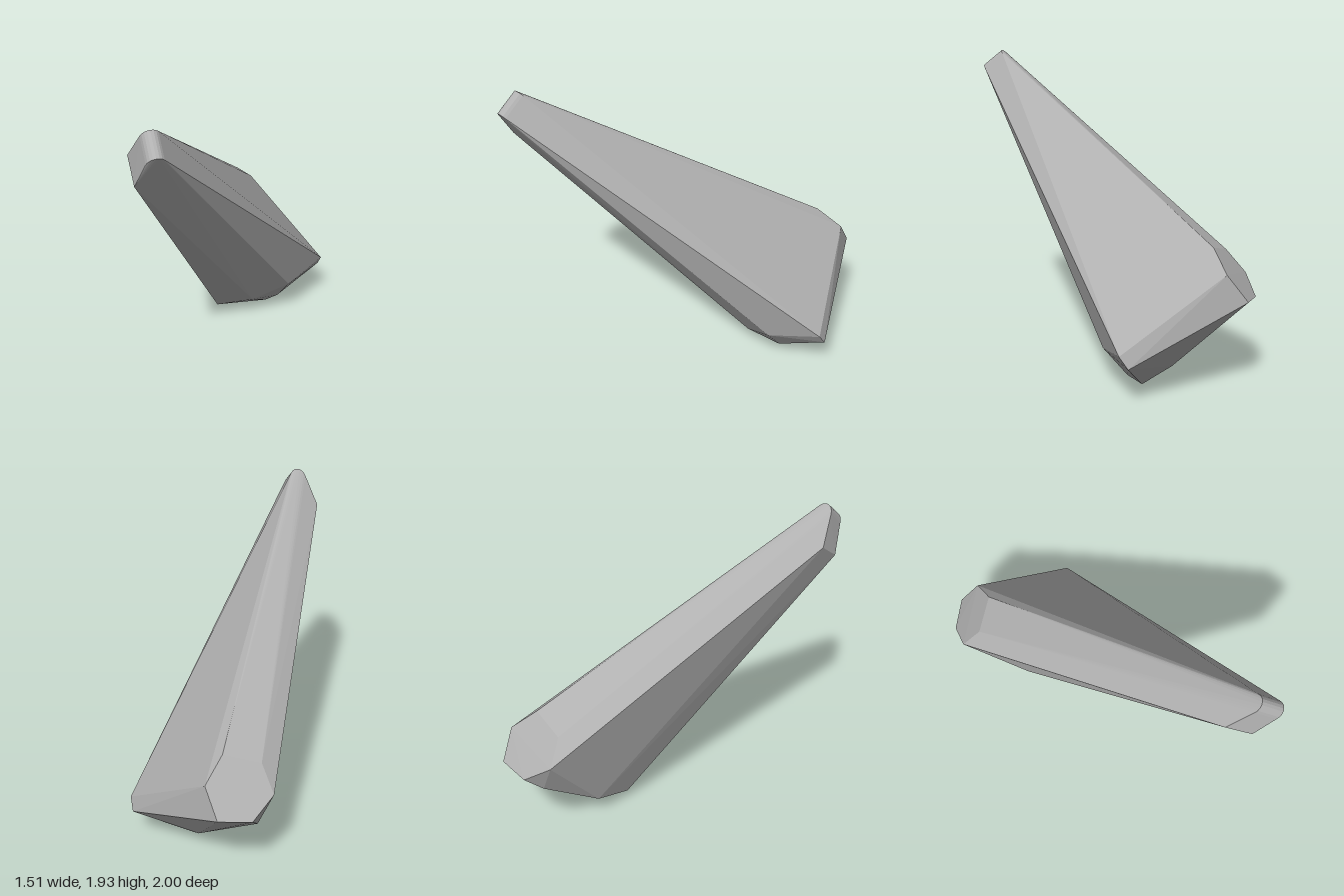
import * as THREE from 'three';
import { ConvexGeometry } from 'three/addons/geometries/ConvexGeometry.js';

export function createModel() {
  const group = new THREE.Group();
  group.name = 'rockShard';
  const stone = new THREE.MeshStandardMaterial({ color: 0xb0b0b0 });
  stone.name = 'greyStone';
  const points = [];
  const add = (x, y, z) => points.push(new THREE.Vector3(x, y, z));

  // Narrow tip: a rounded profile swept a short way forward and down
  const sweep = (x, y, z) => {
    add(x, y, z);
    add(x, y - 0.103, z + 0.13);
  };
  for (let i = 0; i <= 8; i++) {
    const a = THREE.MathUtils.degToRad(25 + i * 17.5);
    const y = 1.875 + 0.055 * Math.sin(a);
    sweep(-0.66 + 0.055 * Math.cos(a), y, 0.87 + (y - 1.93) * 0.85);
  }
  add(-0.757, 1.73, 0.7);
  add(-0.757, 1.62, 0.86);

  // Sloping six-sided end face at the back
  [[0.17, 0.55, -1], [0.37, 0.575, -0.975], [0.41, 0.745, -0.85],
    [0.28, 0.87, -0.75], [0.06, 0.805, -0.8], [0.02, 0.655, -0.92],
  ].forEach((p) => add(...p));

  // Outer side corner
  add(0.755, 0.32, -0.285);
  add(0.755, 0.245, -0.34);

  // Faceted underside
  [[-0.01, 0.08, -0.26], [0.2, 0.035, -0.32], [0.37, 0, -0.345],
    [0.43, 0.078, -0.265], [0.22, 0.13, -0.18], [0.46, 0.25, -0.12],
    [0.38, 0.14, -0.53], [0.01, 0.17, -0.52], [0.11, 0.45, -0.9],
  ].forEach((p) => add(...p));

  const shard = new THREE.Mesh(new ConvexGeometry(points), stone);
  shard.name = 'shard';
  group.add(shard);
  return group;
}
